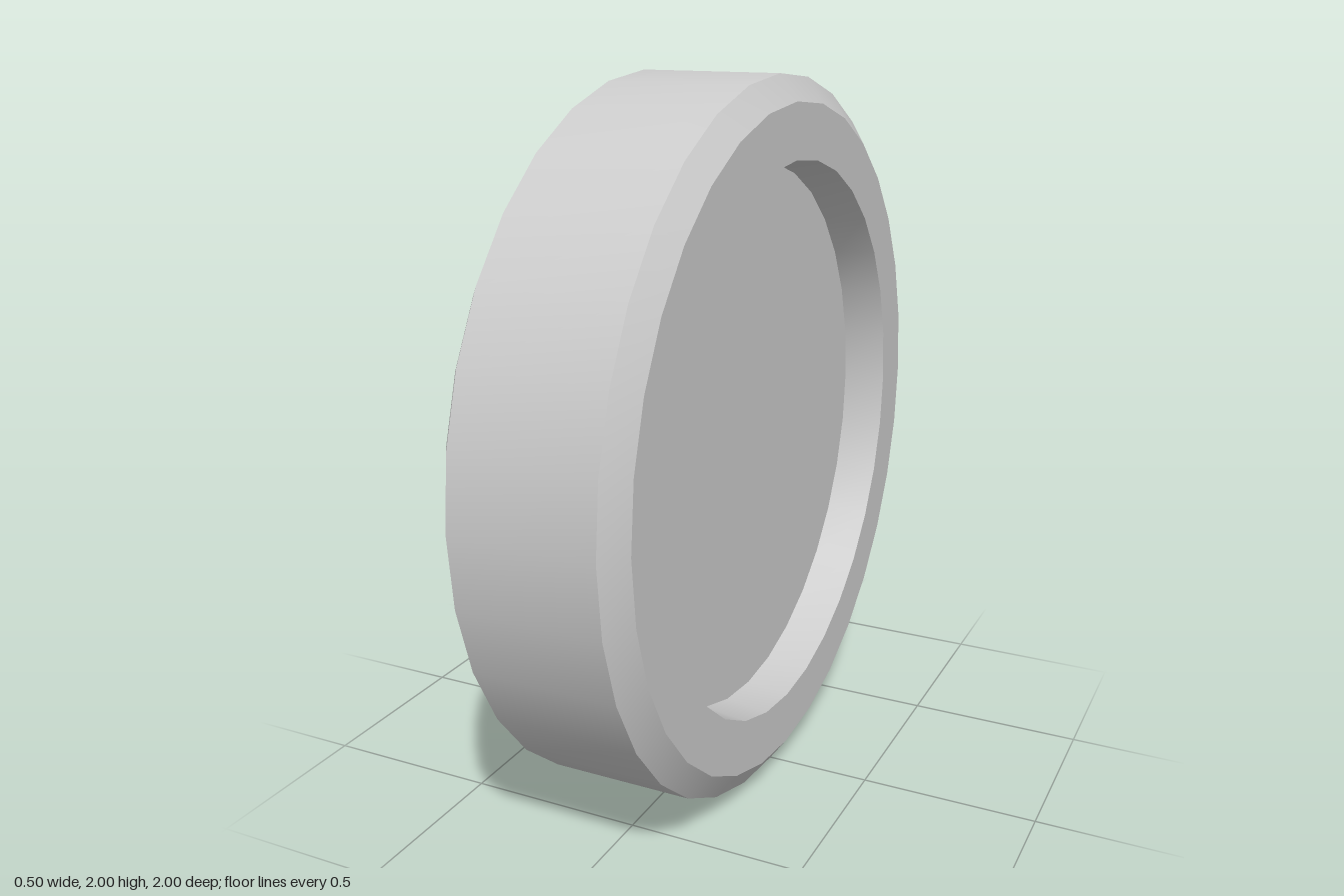
import * as THREE from 'three';
import { toCreasedNormals } from 'three/addons/utils/BufferGeometryUtils.js';

const SIDES = 32;
const FLOOR_RADIUS = 0.765;
const FLOOR_X = 0.125;

export function createModel() {
  const group = new THREE.Group();
  group.name = 'wheel';
  const material = new THREE.MeshStandardMaterial({ color: 0xcccccc });

  // Half profile as [radius, offset along the axle], from recess floor to tread
  const half = [[FLOOR_RADIUS, FLOOR_X], [0.778, 0.25], [0.93, 0.25], [1, 0.2]];
  const profile = [
    ...half.map(([r, x]) => new THREE.Vector2(r, -x)),
    ...half.map(([r, x]) => new THREE.Vector2(r, x)).reverse(),
  ];

  // Rim: tread, chamfers, side faces and tapered recess walls
  const rimGeometry = toCreasedNormals(new THREE.LatheGeometry(profile, SIDES), Math.PI / 6);
  rimGeometry.rotateZ(-Math.PI / 2);
  const rim = new THREE.Mesh(rimGeometry, material);
  rim.name = 'rim';
  rim.position.y = 1;
  group.add(rim);

  // Flat recessed disc on each side
  for (const side of [1, -1]) {
    const disc = new THREE.Mesh(new THREE.CircleGeometry(FLOOR_RADIUS, SIDES), material);
    disc.name = side > 0 ? 'leftDisc' : 'rightDisc';
    disc.rotation.y = side * Math.PI / 2;
    disc.position.set(side * FLOOR_X, 1, 0);
    group.add(disc);
  }

  return group;
}
